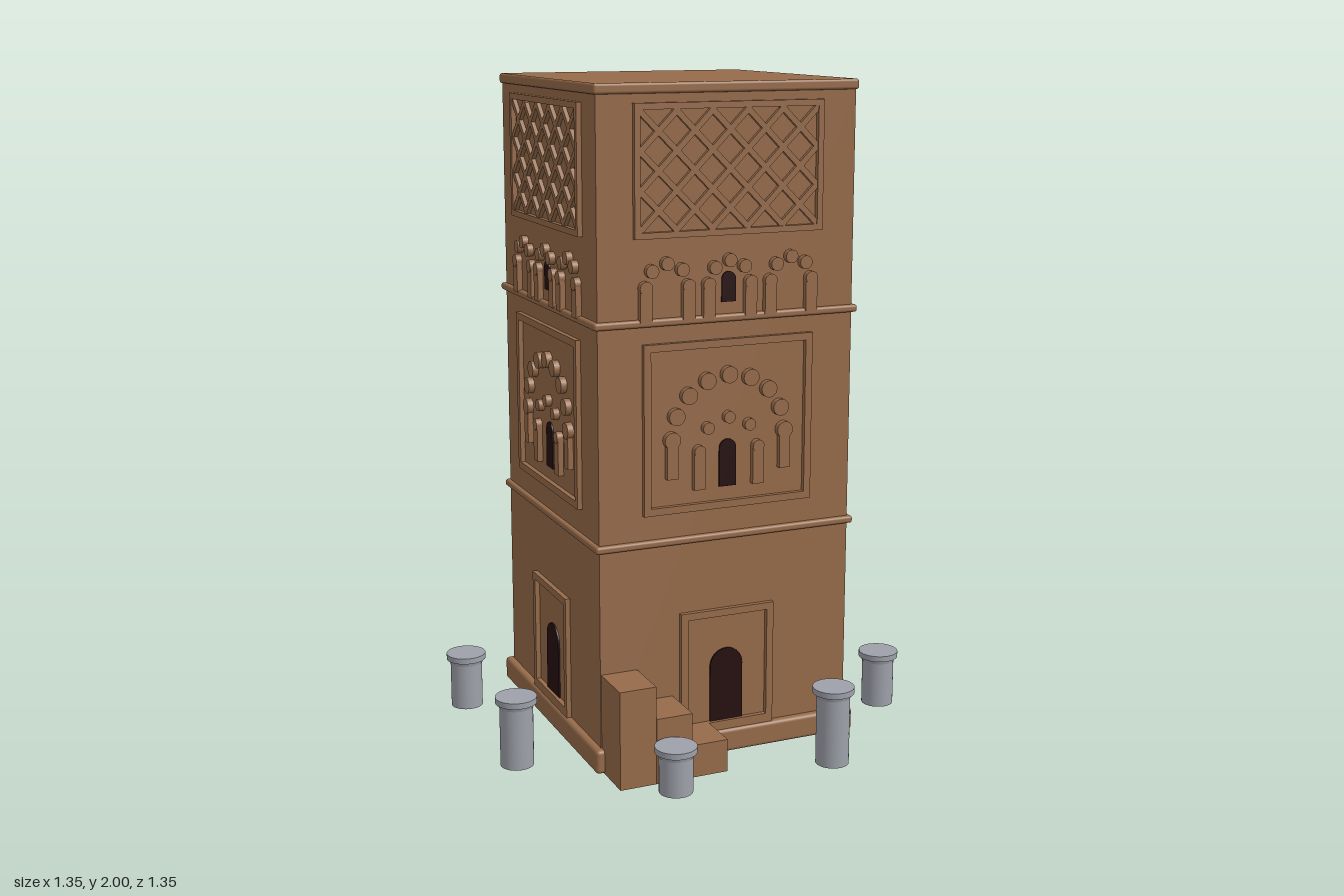
import * as THREE from 'three';
import { RoundedBoxGeometry } from 'three/addons/geometries/RoundedBoxGeometry.js';

const mat = (name, color) => {
  const m = new THREE.MeshStandardMaterial({ color });
  m.name = name;
  return m;
};

export function createModel() {
  const brick = mat('brick', 0x966b4a);
  const stone = mat('grey stone', 0x9ea1aa);
  const dark = mat('dark opening', 0x260f10);
  const model = new THREE.Group();
  model.name = 'tower';

  const add = (parent, name, geo, material, x = 0, y = 0, z = 0) => {
    const m = new THREE.Mesh(geo, material);
    m.name = name;
    m.position.set(x, y, z);
    parent.add(m);
    return m;
  };
  const slab = (name, half, y0, y1, r) =>
    add(model, name, new RoundedBoxGeometry(half * 2, y1 - y0, half * 2, 3, r), brick, 0, (y0 + y1) / 2, 0);

  // Shaft of the tower, plinth, string courses and roof slab
  const HALF = 0.403;
  add(model, 'shaft', new THREE.BoxGeometry(HALF * 2, 1.95, HALF * 2), brick, 0, 1.0, 0);
  slab('plinth', 0.426, 0, 0.073, 0.012);
  slab('lowerBand', 0.417, 0.67, 0.692, 0.008);
  slab('upperBand', 0.417, 1.32, 1.342, 0.008);
  slab('roofSlab', 0.411, 1.97, 2.0, 0.008);

  // Raised rectangular frame
  const frame = (g, name, hw, y0, y1, t, bottom = t) => {
    const s = new THREE.Shape();
    s.moveTo(-hw, y0).lineTo(hw, y0).lineTo(hw, y1).lineTo(-hw, y1).closePath();
    const h = new THREE.Path(), w = hw - t;
    h.moveTo(-w, y0 + bottom).lineTo(-w, y1 - t).lineTo(w, y1 - t).lineTo(w, y0 + bottom).closePath();
    s.holes.push(h);
    add(g, name, new THREE.ExtrudeGeometry(s, { depth: 0.016, bevelEnabled: false }), brick);
  };

  // Round-headed dark opening
  const opening = (g, name, hw, y0, y1) => {
    const s = new THREE.Shape();
    s.moveTo(-hw, y0).lineTo(hw, y0).lineTo(hw, y1 - hw);
    s.absarc(0, y1 - hw, hw, 0, Math.PI, false);
    s.closePath();
    add(g, name, new THREE.ExtrudeGeometry(s, { depth: 0.006, bevelEnabled: false, curveSegments: 16 }), dark);
  };

  // Arch made of round studs standing on two pilasters
  const studArch = (g, name, cx, cy, radius, count, studR, pillarHalf, pillarY) => {
    const arch = new THREE.Group();
    arch.name = name;
    g.add(arch);
    for (let i = 0; i < count; i++) {
      const a = (i / (count - 1)) * Math.PI;
      const stud = new THREE.CylinderGeometry(studR, studR, 0.02, 24).rotateX(Math.PI / 2);
      add(arch, 'stud', stud, brick, cx + radius * Math.cos(a), cy + radius * Math.sin(a), 0.01);
    }
    for (const s of [-1, 1]) {
      const pillar = new THREE.BoxGeometry(pillarHalf * 2, cy - pillarY, 0.018);
      add(arch, 'pilaster', pillar, brick, cx + s * radius, (cy + pillarY) / 2, 0.009);
    }
  };

  // Diagonal lattice clipped to its panel
  const lattice = (g, hw, y0, y1, step) => {
    const cy = (y0 + y1) / 2, hh = (y1 - y0) / 2;
    for (const s of [-1, 1]) {
      for (let k = -5; k <= 5; k++) {
        const c = k * step; // x where the bar crosses the middle line
        const a = Math.max(-hw, c - hh), b = Math.min(hw, c + hh);
        if (b - a < 0.04) continue;
        const bar = new THREE.BoxGeometry((b - a) * Math.SQRT2, 0.017, 0.013);
        const m = add(g, 'latticeBar', bar, brick, (a + b) / 2, cy + s * ((a + b) / 2 - c), 0.0065);
        m.rotation.z = s * Math.PI / 4;
      }
    }
  };

  // Four identical decorated walls
  for (let side = 0; side < 4; side++) {
    const holder = new THREE.Group();
    holder.name = 'wall';
    holder.rotation.y = side * Math.PI / 2;
    const g = new THREE.Group();
    g.name = 'wallDecoration';
    g.position.z = HALF - 0.001;
    holder.add(g);
    model.add(holder);

    frame(g, 'doorFrame', 0.151, 0.07, 0.455, 0.022, 0.03);
    opening(g, 'door', 0.053, 0.1, 0.327);

    frame(g, 'middleFrame', 0.268, 0.767, 1.27, 0.022);
    studArch(g, 'largeArch', 0, 0.985, 0.18, 9, 0.025, 0.017, 0.87);
    studArch(g, 'smallArch', 0, 0.945, 0.094, 5, 0.018, 0.018, 0.83);
    opening(g, 'middleWindow', 0.027, 0.83, 0.972);

    for (const x of [-0.195, 0, 0.195]) studArch(g, 'arcadeArch', x, 1.432, 0.066, 5, 0.0195, 0.0185, 1.335);
    opening(g, 'upperWindow', 0.022, 1.377, 1.465);

    frame(g, 'latticeFrame', 0.294, 1.57, 1.945, 0.018);
    lattice(g, 0.278, 1.586, 1.929, 0.11);
  }

  // Three steps beside the front door
  for (let i = 0; i < 3; i++) {
    const h = 0.3 - i * 0.1;
    add(model, 'step', new THREE.BoxGeometry(0.113, h, 0.15), brick, -0.344 + i * 0.1135, h / 2, 0.475);
  }

  // Ring of broken columns
  const heights = [0.175, 0.24, 0.14, 0.215];
  for (let i = 0; i < 8; i++) {
    const a = (i + 0.5) * Math.PI / 4, h = heights[i % 4];
    const c = new THREE.Group();
    c.name = 'column';
    c.position.set(0.664 * Math.cos(a), 0, 0.664 * Math.sin(a));
    model.add(c);
    add(c, 'columnShaft', new THREE.CylinderGeometry(0.05, 0.05, h - 0.02, 32), stone, 0, (h - 0.02) / 2, 0);
    add(c, 'columnCollar', new THREE.CylinderGeometry(0.055, 0.052, 0.012, 32), stone, 0, h - 0.024, 0);
    add(c, 'columnCap', new THREE.CylinderGeometry(0.062, 0.062, 0.018, 32), stone, 0, h - 0.009, 0);
  }
  return model;
}
